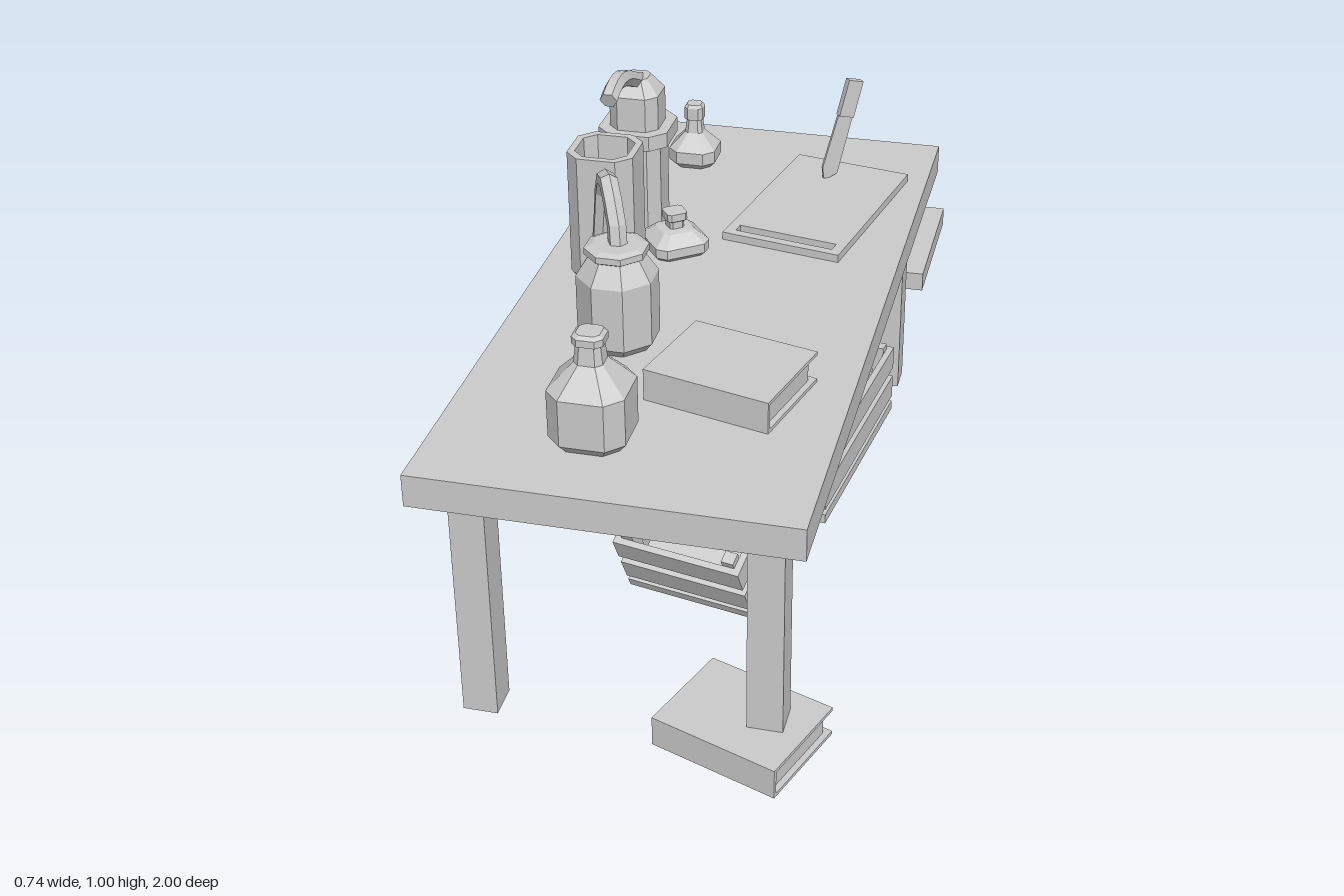
import * as THREE from 'three';

const material = new THREE.MeshStandardMaterial({ color: 0xcccccc, flatShading: true, side: THREE.DoubleSide });

function add(parent, name, geometry, x = 0, y = 0, z = 0) {
  const mesh = new THREE.Mesh(geometry, material);
  mesh.name = name;
  mesh.position.set(x, y, z);
  parent.add(mesh);
  return mesh;
}

// Box given by its size and centre
const box = (parent, name, w, h, d, x, y, z) => add(parent, name, new THREE.BoxGeometry(w, h, d), x, y, z);

function group(parent, name, x, y, z, yaw = 0, pitch = 0, roll = 0) {
  const g = new THREE.Group();
  g.name = name;
  g.position.set(x, y, z);
  g.rotation.set(pitch, yaw, roll, 'YXZ');
  parent.add(g);
  return g;
}

// Vessel skin through chamfered square rings [y, half width]; closes where half width is 0
function vessel(rings, chamfer) {
  const ring = ([y, h]) => {
    const k = h * (1 - chamfer);
    return [[h, -k], [h, k], [k, h], [-k, h], [-h, k], [-h, -k], [-k, -h], [k, -h]].map(([x, z]) => [x, y, z]);
  };
  const pos = [];
  for (let i = 0; i + 1 < rings.length; i++) {
    const a = ring(rings[i]), b = ring(rings[i + 1]);
    for (let j = 0; j < 8; j++) {
      const n = (j + 1) % 8;
      if (rings[i + 1][1] > 0) pos.push(...a[j], ...b[j], ...b[n]);
      if (rings[i][1] > 0) pos.push(...a[j], ...b[n], ...a[n]);
    }
  }
  const g = new THREE.BufferGeometry();
  g.setAttribute('position', new THREE.Float32BufferAttribute(pos, 3));
  g.computeVertexNormals();
  return g;
}

// Bent spout or hose with capped ends
function hose(parent, name, points, radius) {
  const path = new THREE.CatmullRomCurve3(points.map(p => new THREE.Vector3(...p)));
  add(parent, name, new THREE.TubeGeometry(path, 10, radius, 6));
  for (const t of [0, 1]) {
    const cap = add(parent, name + 'End', new THREE.CircleGeometry(radius, 6), ...path.getPointAt(t).toArray());
    cap.lookAt(path.getPointAt(t).add(path.getTangentAt(t).multiplyScalar(t ? 1 : -1)));
  }
}

// Four legs mirrored around a centre
function legs(parent, name, size, height, bottom, cx, cz, dx, dz) {
  for (const sx of [-1, 1]) for (const sz of [-1, 1])
    box(parent, name, size, height, size, cx + sx * dx, bottom + height / 2, cz + sz * dz);
}

// Closed book with its spine towards local +z
function book(parent, name, w, h, d, x, y, z, yaw) {
  const g = group(parent, name, x, y, z, yaw);
  const t = 0.007;
  box(g, 'lowerCover', w, t, d, 0, t / 2, 0);
  box(g, 'upperCover', w, t, d, 0, h - t / 2, 0);
  box(g, 'spine', w, h - 2 * t, t, 0, h / 2, d / 2 - t / 2);
  box(g, 'pages', w - 0.024, h - 2 * t, d - 0.02, 0, h / 2, 0.004);
}

// Slatted crate, centred on its own middle
function crate(parent, name, x, y, z, yaw, pitch) {
  const g = group(parent, name, x, y, z, yaw, pitch);
  const W = 0.275, H = 0.18, L = 0.5, t = 0.014;
  box(g, 'floor', W, 0.022, L, 0, -H / 2 + 0.011, 0);
  for (const s of [-1, 1]) {
    for (const [yy, hh] of [[-0.027, 0.055], [0.05, 0.055]]) {
      box(g, 'sideSlat', t, hh, L, s * (W - t) / 2, yy, 0);
      box(g, 'endSlat', W - 2 * t, hh, t, 0, yy, s * (L - t) / 2);
    }
    for (const e of [-1, 1])
      box(g, 'cornerPost', 0.026, H - 0.02, 0.026, s * (W / 2 - t - 0.013), 0.012, e * (L / 2 - t - 0.013));
  }
}

export function createModel() {
  const model = new THREE.Group();
  model.name = 'workTableSet';
  const top = 0.59;

  // Table and bench
  const table = group(model, 'table', 0, 0, 0);
  box(table, 'tableTop', 0.72, 0.065, 1.575, -0.015, 0.5575, 0.183);
  legs(table, 'tableLeg', 0.068, 0.506, 0.02, -0.015, 0.19, 0.275, 0.673);
  const bench = group(model, 'bench', 0, 0, 0);
  box(bench, 'benchSeat', 0.648, 0.045, 0.37, -0.005, 0.212, -0.815);
  legs(bench, 'benchLeg', 0.044, 0.19, 0, -0.005, -0.812, 0.192, 0.115);

  // Crates below the table, one leaning on the other
  crate(model, 'flatCrate', 0.126, 0.107, -0.12, -0.13, 0);
  crate(model, 'leaningCrate', 0.055, 0.215, 0.305, -0.2, 0.435);

  // Books
  book(model, 'tableBook', 0.257, 0.065, 0.205, 0.12, top, 0.567, -0.25);
  book(model, 'floorBook', 0.266, 0.063, 0.205, 0.21, 0.018, 0.86, -0.345);

  // Cutting board with a grip slot
  const board = new THREE.Shape([[-0.132, -0.215], [0.132, -0.215], [0.132, 0.215], [-0.132, 0.215]]
    .map(p => new THREE.Vector2(...p)));
  board.holes.push(new THREE.Path([[-0.11, -0.195], [-0.11, -0.17], [0.11, -0.17], [0.11, -0.195]]
    .map(p => new THREE.Vector2(...p))));
  const boardGeometry = new THREE.ExtrudeGeometry(board, { depth: 0.017, bevelEnabled: false });
  boardGeometry.rotateX(-Math.PI / 2);
  add(model, 'cuttingBoard', boardGeometry, 0.132, top, -0.215).rotation.y = -0.19;

  // Knife stuck in the board
  const knife = group(model, 'knife', 0.127, 0.6, -0.345, 0.64, 0, -0.26);
  const blade = new THREE.Shape([[-0.008, 0], [0.02, 0.02], [0.02, 0.16], [-0.016, 0.16], [-0.02, 0.03]]
    .map(p => new THREE.Vector2(...p)));
  add(knife, 'blade', new THREE.ExtrudeGeometry(blade, { depth: 0.006, bevelEnabled: false }), 0, 0, -0.003);
  box(knife, 'handle', 0.036, 0.085, 0.016, 0.002, 0.198, 0);

  // Bottles and jars: name, x, z, yaw, chamfer, profile above the table top
  const vessels = [
    ['frontBottle', -0.083, 0.777, 0, 0.42, [[0, 0], [0, 0.058], [0.018, 0.072], [0.112, 0.072], [0.162, 0.027],
      [0.2, 0.023], [0.2, 0.029], [0.214, 0.029], [0.22, 0.022], [0.22, 0]]],
    ['hoseJar', -0.133, 0.435, 0, 0.586, [[0, 0], [0, 0.06], [0.018, 0.074], [0.15, 0.074], [0.19, 0.05],
      [0.195, 0.058], [0.208, 0.058], [0.213, 0.045], [0.213, 0]]],
    ['openVase', -0.23, 0.172, 0, 0.42, [[0, 0], [0, 0.056], [0.02, 0.068], [0.285, 0.068], [0.285, 0.054],
      [0.03, 0.05], [0.03, 0]]],
    ['spoutBottle', -0.226, -0.056, 0, 0.42, [[0, 0], [0, 0.05], [0.015, 0.056], [0.21, 0.056], [0.21, 0.074],
      [0.242, 0.074], [0.242, 0.052], [0.315, 0.052], [0.348, 0.026], [0.348, 0]]],
    ['squatBottle', -0.125, 0.036, 0.65, 0.3, [[0, 0], [0, 0.05], [0.01, 0.06], [0.03, 0.06], [0.052, 0.035],
      [0.055, 0.016], [0.07, 0.016], [0.074, 0.022], [0.09, 0.022], [0.09, 0]]],
    ['smallBottle', -0.19, -0.398, 0, 0.42, [[0, 0], [0, 0.04], [0.014, 0.053], [0.042, 0.053], [0.078, 0.02],
      [0.11, 0.016], [0.11, 0.021], [0.138, 0.021], [0.145, 0.016], [0.145, 0]]],
  ];
  for (const [name, x, z, yaw, chamfer, profile] of vessels)
    add(model, name, vessel(profile, chamfer), x, top, z).rotation.y = yaw;

  // Curved hose of the jar and spout of the tall bottle
  hose(model, 'jarHose', [[-0.13, 0.79, 0.435], [-0.137, 0.845, 0.42], [-0.155, 0.885, 0.39], [-0.173, 0.897, 0.35],
    [-0.19, 0.865, 0.315], [-0.2, 0.79, 0.3], [-0.21, 0.71, 0.29], [-0.225, 0.66, 0.27], [-0.235, 0.643, 0.24]], 0.019);
  hose(model, 'bottleSpout', [[-0.225, 0.925, -0.06], [-0.225, 0.945, -0.015], [-0.225, 0.972, 0.045],
    [-0.225, 0.982, 0.09], [-0.225, 0.979, 0.125], [-0.225, 0.968, 0.155]], 0.018);

  return model;
}
